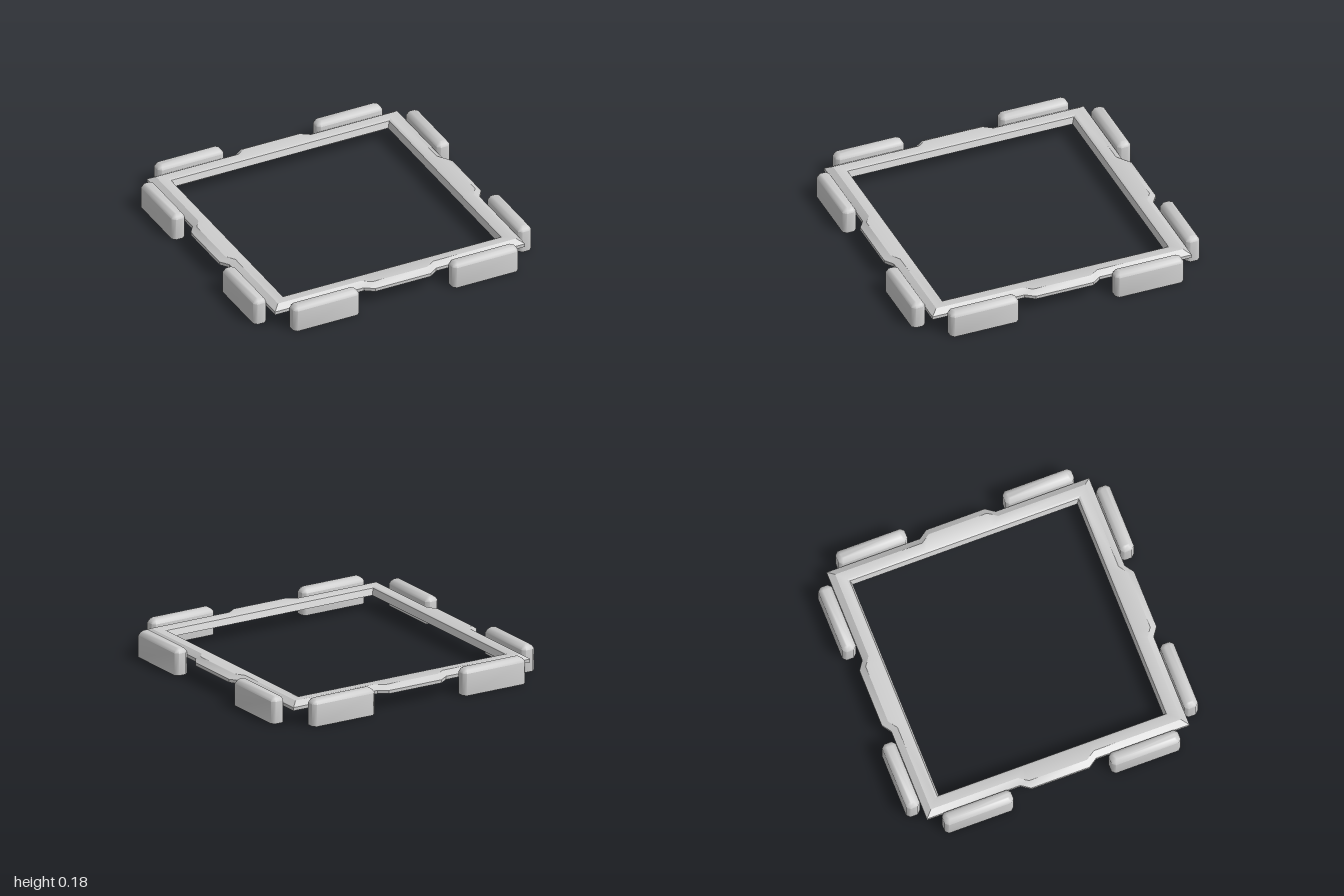
import * as THREE from 'three';
import { toCreasedNormals } from 'three/addons/utils/BufferGeometryUtils.js';

const material = new THREE.MeshStandardMaterial({ color: 0xcccccc });

// Skins a stack of equal-length rings; the stack either wraps round or is capped
function loft(rings, { wrap = false, crease }) {
  const n = rings[0].length;
  const index = [];
  const last = wrap ? rings.length : rings.length - 1;
  for (let i = 0; i < last; i++) {
    const lo = i * n, hi = ((i + 1) % rings.length) * n;
    for (let j = 0; j < n; j++) {
      const k = (j + 1) % n;
      index.push(lo + j, lo + k, hi + k, lo + j, hi + k, hi + j);
    }
  }
  if (!wrap) {
    const top = (rings.length - 1) * n;
    for (let j = 1; j < n - 1; j++) {
      index.push(0, j + 1, j, top, top + j, top + j + 1);
    }
  }
  const geometry = new THREE.BufferGeometry();
  geometry.setAttribute('position', new THREE.Float32BufferAttribute(rings.flat(2), 3));
  geometry.setIndex(index);
  return toCreasedNormals(geometry, crease);
}

// Square ring of half-width r, with a tab of depth t in the middle of each side
function frameRing([r, y, t]) {
  const side = [[-r, r], [-0.26, r], [-0.2, r + t], [0.2, r + t], [0.26, r]];
  const ring = [];
  for (let k = 0; k < 4; k++) {
    const c = Math.cos(k * Math.PI / 2), s = Math.sin(k * Math.PI / 2);
    for (const [u, v] of side) ring.push([u * c + v * s, y, v * c - u * s]);
  }
  return ring;
}

// Rectangle with cut corners
function octagon(w, d, cut, y) {
  return [
    [-w + cut, y, d], [w - cut, y, d], [w, y, d - cut], [w, y, -d + cut],
    [w - cut, y, -d], [-w + cut, y, -d], [-w, y, -d + cut], [-w, y, d - cut],
  ];
}

export function createModel() {
  const model = new THREE.Group();
  model.name = 'squareFrame';

  // Bevelled frame: cross-section as half-width, height, tab depth
  const section = [
    [0.9, 0.1, 0.042], [0.9, 0.122, 0.042], [0.857, 0.15, 0.042],
    [0.8, 0.15, 0], [0.785, 0.142, 0], [0.769, 0.1, 0],
  ];
  const frame = new THREE.Mesh(loft(section.map(frameRing), { wrap: true, crease: 0.5 }), material);
  frame.name = 'frame';
  model.add(frame);

  // Two bumper blocks along each side
  const w = 0.237, d = 0.047;
  const blockGeometry = loft([
    octagon(w, d, 0.022, 0),
    octagon(w, d, 0.022, 0.148),
    octagon(w - 0.01, d - 0.01, 0.018, 0.165),
    octagon(w - 0.028, d - 0.027, 0.01, 0.178),
  ], { crease: 0.9 });
  for (let k = 0; k < 4; k++) {
    const pair = new THREE.Group();
    pair.name = 'bumperPair';
    pair.rotation.y = k * Math.PI / 2;
    for (const s of [-1, 1]) {
      const block = new THREE.Mesh(blockGeometry, material);
      block.name = 'bumperBlock';
      block.position.set(s * 0.572, 0, 0.953);
      pair.add(block);
    }
    model.add(pair);
  }
  return model;
}
